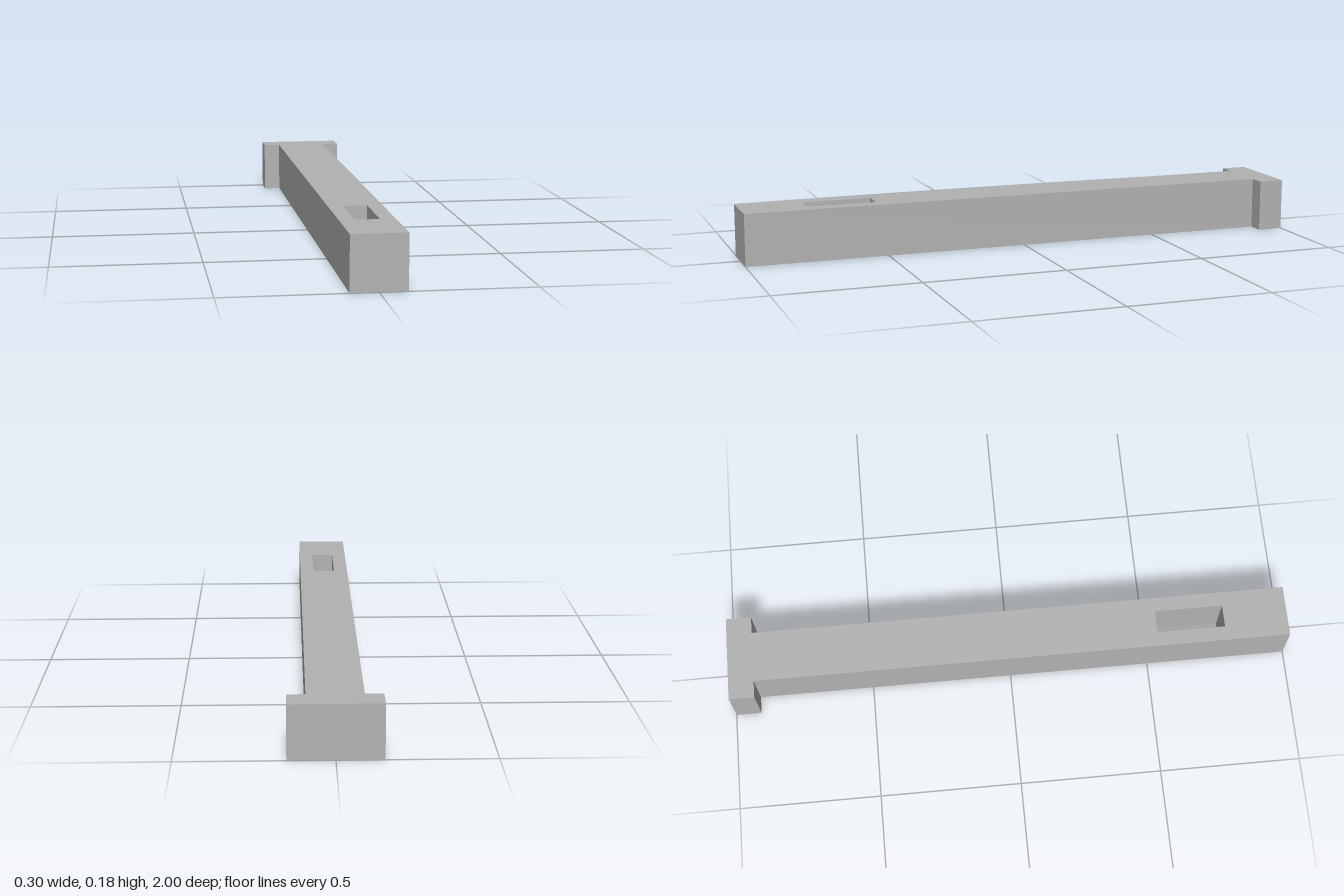
import * as THREE from 'three';

export function createModel() {
  const model = new THREE.Group();
  model.name = 'slottedPin';

  const grey = new THREE.MeshStandardMaterial({ color: 0xb2b2b2 });
  grey.name = 'grey';

  const shaft = 0.091, head = 0.151, neck = 0.91, height = 0.182;

  // T-shaped plan: square shaft with a wider head at the back
  const plan = new THREE.Shape([
    [-shaft, -1], [shaft, -1], [shaft, neck], [head, neck],
    [head, 1], [-head, 1], [-head, neck], [-shaft, neck],
  ].map(([x, y]) => new THREE.Vector2(x, y)));

  // Wedge slot passing right through the shaft near the front
  plan.holes.push(new THREE.Path([
    [-0.04, -0.773], [-0.04, -0.53], [0.04, -0.53], [0.04, -0.773],
  ].map(([x, y]) => new THREE.Vector2(x, y))));

  const geometry = new THREE.ExtrudeGeometry(plan, { depth: height, bevelEnabled: false });
  geometry.rotateX(-Math.PI / 2); // lay flat: plan y becomes -z, depth becomes height

  const pin = new THREE.Mesh(geometry, grey);
  pin.name = 'headedShaft';
  model.add(pin);
  return model;
}
